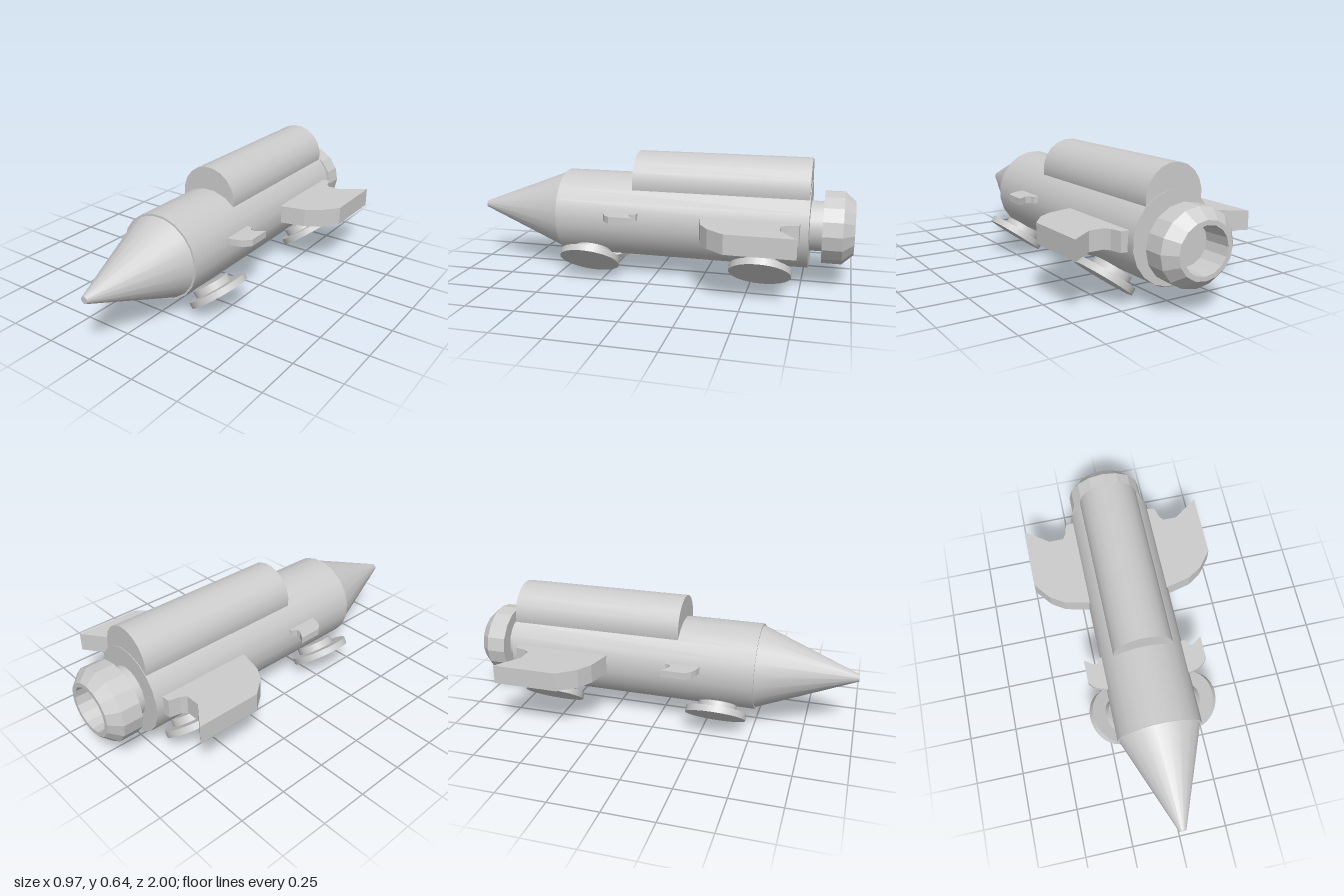
import * as THREE from 'three';

const CY = 0.302; // height of the fuselage axis

export function createModel() {
  const model = new THREE.Group();
  const smooth = new THREE.MeshStandardMaterial({ color: 0xcccccc });
  const faceted = new THREE.MeshStandardMaterial({ color: 0xcccccc, flatShading: true });

  function add(name, geometry, material = smooth, parent = model) {
    const mesh = new THREE.Mesh(geometry, material);
    mesh.name = name;
    parent.add(mesh);
    return mesh;
  }

  // Cylinder or cone lying along z, with a flat facet on top
  function barrel(name, rFront, rBack, zFront, zBack, y) {
    const g = new THREE.CylinderGeometry(rFront, rBack, zFront - zBack, 20);
    g.rotateY(Math.PI / 20).rotateX(Math.PI / 2);
    add(name, g).position.set(0, y, (zFront + zBack) / 2);
  }

  barrel('fuselage', 0.221, 0.221, 0.505, -0.785, CY);
  barrel('noseCone', 0.018, 0.213, 1, 0.5, CY);
  barrel('dorsalTank', 0.155, 0.155, 0.107, -0.782, 0.486);
  barrel('nozzleNeck', 0.127, 0.127, -0.78, -0.855, 0.296);

  // Hollow exhaust nozzle, slightly flattened
  const nozzleProfile = [
    [0, 0.848], [0.2, 0.848], [0.2, 0.945], [0.146, 1],
    [0.122, 1], [0.116, 0.87], [0, 0.87],
  ].map(([r, z]) => new THREE.Vector2(r, z));
  const nozzle = new THREE.LatheGeometry(nozzleProfile, 16);
  nozzle.rotateX(-Math.PI / 2).scale(1, 0.91, 1);
  add('exhaustNozzle', nozzle, faceted).position.y = 0.296;

  // Swept fin outlines as [distance from centre, z], thickened in y
  function finPair(name, outline, yLow, yHigh, shift) {
    for (const s of [1, -1]) {
      const shape = new THREE.Shape(outline.map(([x, z]) => new THREE.Vector2(s * x + shift, -z)));
      const g = new THREE.ExtrudeGeometry(shape, { depth: yHigh - yLow, bevelEnabled: false });
      g.rotateX(-Math.PI / 2).translate(0, yLow, 0);
      add((s > 0 ? 'left' : 'right') + name, g, faceted);
    }
  }
  finPair('RearFin', [
    [0.18, -0.25], [0.22, -0.255], [0.345, -0.285], [0.415, -0.33], [0.485, -0.418],
    [0.485, -0.75], [0.36, -0.66], [0.285, -0.66], [0.267, -0.685], [0.252, -0.742], [0.18, -0.748],
  ], 0.262, 0.358, 0);
  finPair('FrontFin', [
    [0.18, 0.24], [0.215, 0.238], [0.26, 0.226], [0.288, 0.21], [0.312, 0.182],
    [0.312, 0.06], [0.265, 0.092], [0.244, 0.092], [0.237, 0.082], [0.231, 0.064], [0.18, 0.06],
  ], 0.323, 0.358, 0.007);

  // Landing pads splayed outward: a broad disc on a smaller hub
  for (const z of [0.32, -0.56]) {
    for (const s of [1, -1]) {
      const pad = new THREE.Group();
      pad.name = (s > 0 ? 'left' : 'right') + (z > 0 ? 'Front' : 'Rear') + 'Pad';
      pad.position.set(s * 0.2165 + 0.007, 0.092, z);
      pad.rotation.z = s * 0.638;
      add('padDisc', new THREE.CylinderGeometry(0.154, 0.154, 0.033, 32), smooth, pad)
        .position.y = 0.0165;
      add('padHub', new THREE.CylinderGeometry(0.097, 0.097, 0.04, 32), smooth, pad)
        .position.set(-0.022 * s, 0.05, 0);
      model.add(pad);
    }
  }

  return model;
}
